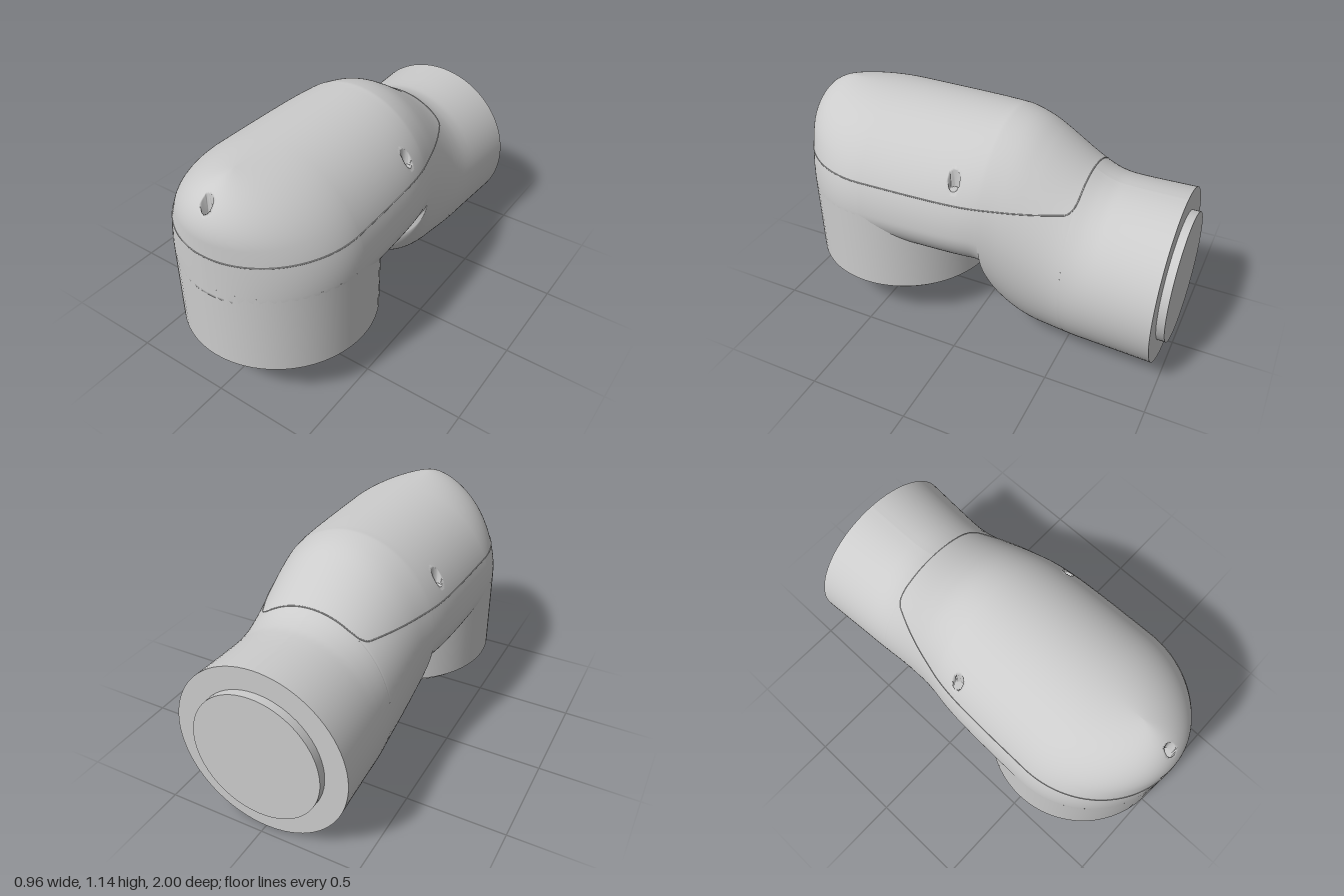
import * as THREE from 'three';

const material = new THREE.MeshStandardMaterial({ color: 0xcccccc, side: THREE.DoubleSide });
const AXIS_Y = 0.655, R = 0.48, CZ = 0.52, CAP_END = -0.51, REAR = -0.96, REAR_Y = 0.4375;

// Smooth function v(z) through a few [z, v] points, listed from front to back
function profile(points) {
  const pts = new THREE.SplineCurve(points.map(([z, v]) => new THREE.Vector2(z, v))).getPoints(400);
  return (z) => {
    const i = pts.findIndex((p) => p.x <= z);
    if (i < 0) return pts[pts.length - 1].y;
    if (i === 0) return pts[0].y;
    const a = pts[i - 1], b = pts[i];
    return a.y + (b.y - a.y) * (z - a.x) / (b.x - a.x);
  };
}

const topY = profile([[0.52, 1.135], [0.2, 1.135], [-0.05, 1.135], [-0.12, 1.132], [-0.22, 1.105],
  [-0.32, 1.052], [-0.5, 0.935], [-0.6, 0.888], [-0.7, 0.875], [-0.96, 0.875]]);
const halfWidth = profile([[0.52, 0.48], [0.2, 0.472], [0, 0.458], [-0.2, 0.424], [-0.4, 0.41],
  [-0.6, 0.416], [-0.96, 0.4375]]);
const midY = (z) => THREE.MathUtils.lerp(REAR_Y, AXIS_Y, THREE.MathUtils.smoothstep(z, -0.6, -0.05));

// Underside: flat arch, rounded corner, then the rounded heel of the rear pipe
function bottomY(z) {
  if (z > -0.05) return 0.38;
  if (z > -0.11) return 0.32 + Math.sqrt(Math.max(0, 0.0036 - (z + 0.05) ** 2));
  if (z > -0.38) return 0.27 - Math.sqrt(Math.max(0, 0.0729 - (z + 0.38) ** 2));
  return 0;
}

// Front outline: upright wall with a rounded upper edge
function frontZ(y) {
  if (y < 0.6) return 0.98;
  return y < 0.9 ? 1 : 0.765 + Math.sqrt(Math.max(0, 0.235 ** 2 - (y - 0.9) ** 2));
}

// Point on the housing: row gives the station (s is the turn around the front), t the angle round the section
function surface({ s, z }, t) {
  const c = Math.cos(t), n = Math.sin(t), m = midY(z);
  const y = m + n * (n > 0 ? topY(z) - m : m - bottomY(z));
  if (s > 0) return new THREE.Vector3(R * c * Math.cos(s), y, CZ + (frontZ(y) - CZ) * Math.sin(s));
  return new THREE.Vector3(halfWidth(z) * c, y, z);
}

// Angle at which the parting line crosses a section
function seamAngle({ z }) {
  const k = Math.min(1, Math.max(0, (-0.47 - z) / 0.04));
  const y = 0.82 + 0.05 * (1 - Math.sqrt(1 - k * k));
  return Math.asin(Math.min(1, (y - midY(z)) / (topY(z) - midY(z))));
}

const frontRows = (n) => Array.from({ length: n }, (_, i) => ({ s: (1 - i / n) * Math.PI / 2, z: CZ }));
const straightRows = (from, to, n) =>
  Array.from({ length: n + 1 }, (_, i) => ({ s: 0, z: from + (to - from) * i / n }));

// Skin over rows; range(row) gives the first and last angle, adjust(point) may move a point
function loft(rows, cols, range, adjust = () => {}) {
  const pos = [], index = [];
  rows.forEach((row, r) => {
    const [a, b] = range(row);
    for (let j = 0; j <= cols; j++) {
      const p = surface(row, a + (b - a) * j / cols);
      adjust(p);
      pos.push(p.x, p.y, p.z);
      if (r > 0 && j > 0 && !row.breakBefore) {
        const d = r * (cols + 1) + j, c = d - 1, e = d - cols - 1, f = e - 1;
        index.push(f, c, e, e, c, d);
      }
    }
  });
  const g = new THREE.BufferGeometry();
  g.setAttribute('position', new THREE.Float32BufferAttribute(pos, 3));
  g.setIndex(index);
  g.computeVertexNormals();
  return g;
}

// Small upright screw holes sunk into the cover
const holes = [
  { x: 0.38, z: 0.03, floor: 0.88 },
  { x: -0.38, z: 0.03, floor: 0.88 },
  { x: 0, z: 0.94, floor: 0.99 },
];
const HOLE_R = 0.027;
function sinkHoles(p) {
  if (p.y < 0.86) return;
  for (const h of holes) {
    const dx = p.x - h.x, dz = p.z - h.z, d = Math.hypot(dx, dz);
    if (d < HOLE_R) p.y = Math.min(p.y, h.floor);
    else if (d < HOLE_R * 1.2) {
      p.x = h.x + dx * HOLE_R / d;
      p.z = h.z + dz * HOLE_R / d;
    }
  }
}

export function createModel() {
  const group = new THREE.Group();
  const add = (name, geometry, x = 0, y = 0, z = 0) => {
    const mesh = new THREE.Mesh(geometry, material);
    mesh.name = name;
    mesh.position.set(x, y, z);
    group.add(mesh);
    return mesh;
  };

  // Upper cover with its screw holes
  const capRows = [...frontRows(60), ...straightRows(CZ, CAP_END, 170)];
  add('cover', loft(capRows, 160, (row) => {
    const t = seamAngle(row);
    return [t, Math.PI - t];
  }, sinkHoles));

  // Lower housing: open under the cover, a full pipe behind it
  const openRows = [...frontRows(24), ...straightRows(CZ, -0.1, 50), ...straightRows(-0.102, -0.12, 9),
    ...straightRows(-0.125, CAP_END, 50)];
  const pipeRows = straightRows(CAP_END, REAR, 30).map((row, i) => ({ ...row, full: true, breakBefore: i === 0 }));
  add('housing', loft([...openRows, ...pipeRows], 80, (row) => {
    const t = row.full ? Math.PI / 2 : seamAngle(row);
    return [Math.PI - t, Math.PI * 2 + t];
  }));

  // Parting line around the cover
  const edge = capRows.filter((_, i) => i % 5 === 0 || i > 222);
  const last = edge[edge.length - 1], t0 = seamAngle(last);
  const path = edge.map((row) => surface(row, seamAngle(row)));
  for (let i = 1; i < 10; i++) path.push(surface(last, t0 + (Math.PI - 2 * t0) * i / 10));
  edge.slice(1).reverse().forEach((row) => path.push(surface(row, Math.PI - seamAngle(row))));
  add('seam', new THREE.TubeGeometry(new THREE.CatmullRomCurve3(path, true), 300, 0.003, 5, true));

  // Upright pipe and its plug
  add('uprightPipe', new THREE.CylinderGeometry(R, R, AXIS_Y - 0.23, 64), 0, (AXIS_Y + 0.23) / 2, CZ);
  add('lowerPlug', new THREE.CylinderGeometry(0.435, 0.435, 0.06, 64), 0, 0.22, CZ);

  // Rear end face and its plug
  add('rearFace', new THREE.CircleGeometry(0.4375, 80), 0, REAR_Y, REAR).rotation.y = Math.PI;
  add('rearPlug', new THREE.CylinderGeometry(0.325, 0.325, 0.06, 64), 0, REAR_Y, -0.97).rotation.x = Math.PI / 2;

  return group;
}
